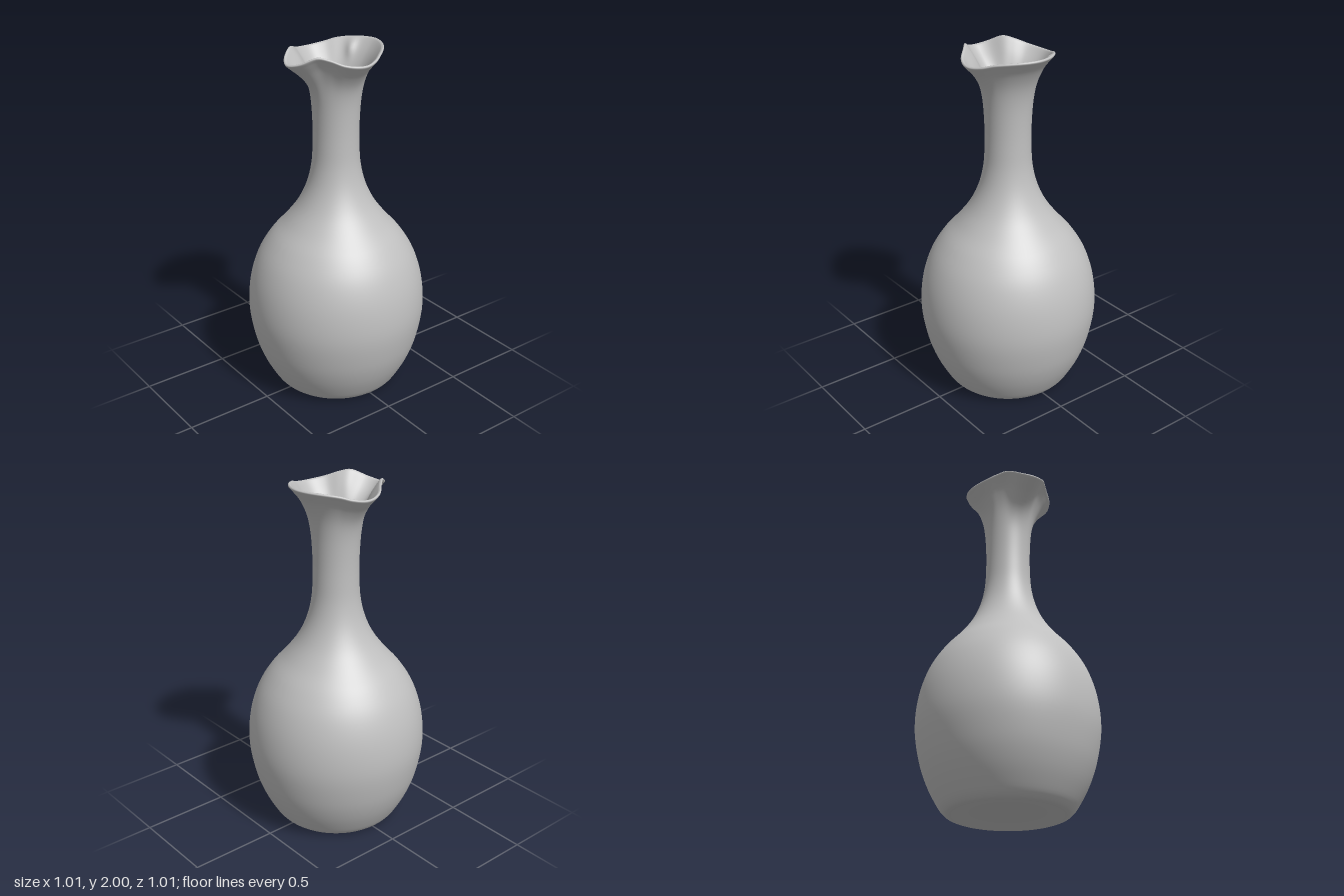
import * as THREE from 'three';
import { mergeVertices } from 'three/addons/utils/BufferGeometryUtils.js';

const spline = (pts, n) => new THREE.SplineCurve(pts.map(([r, y]) => new THREE.Vector2(r, y))).getPoints(n);

// Rim shape by angle in degrees from the spout: [angle, radius, height]
const RIM = [
  [0, 0.314, 1.948], [12, 0.297, 1.96], [30, 0.253, 1.997], [45, 0.24, 1.987], [65, 0.251, 1.96],
  [90, 0.261, 1.948], [110, 0.252, 1.96], [125, 0.247, 1.978], [145, 0.252, 1.99], [180, 0.272, 1.998],
];
const RIM_R = 0.256, RIM_Y = 1.97;

function rimInterpolant() {
  const it = new THREE.CubicInterpolant(RIM.map(p => p[0]), RIM.flatMap(p => [p[1], p[2]]), 2);
  it.settings = { endingStart: THREE.ZeroSlopeEnding, endingEnd: THREE.ZeroSlopeEnding };
  return it;
}

function carafeGeometry() {
  // Outer wall: recessed base, round belly, slim neck, flared lip
  const outer = spline([
    [0, 0.025], [0.12, 0.023], [0.22, 0.016], [0.28, 0.004], [0.315, 0.001], [0.345, 0.015], [0.38, 0.06],
    [0.437, 0.17], [0.48, 0.3], [0.506, 0.47], [0.493, 0.64], [0.447, 0.79], [0.375, 0.91], [0.288, 1.01],
    [0.215, 1.11], [0.164, 1.22], [0.136, 1.34], [0.128, 1.47], [0.129, 1.6], [0.138, 1.72], [0.158, 1.81],
    [0.195, 1.885], [0.235, 1.935], [0.254, 1.956], [RIM_R, 1.965], [0.25, RIM_Y],
  ], 110);
  // Inner wall from the lip down to the floor
  const inner = spline([
    [0.242, 1.966], [0.225, 1.945], [0.182, 1.885], [0.142, 1.81], [0.116, 1.72], [0.105, 1.6], [0.103, 1.47],
    [0.112, 1.34], [0.14, 1.22], [0.19, 1.11], [0.263, 1.01], [0.35, 0.91], [0.422, 0.79], [0.468, 0.64],
    [0.48, 0.47], [0.455, 0.3], [0.41, 0.17], [0.35, 0.08], [0.28, 0.05], [0.14, 0.05], [0, 0.05],
  ], 80);
  const profile = [...outer, ...inner].map(p => p.set(Math.max(p.x, 0), Math.max(p.y, 0)));
  const lathe = new THREE.LatheGeometry(profile, 120);

  // Pull the flared mouth into a wavy rim with a pouring spout
  const rim = rimInterpolant();
  const pos = lathe.attributes.position;
  for (let i = 0; i < pos.count; i++) {
    const x = pos.getX(i), y = pos.getY(i), z = pos.getZ(i);
    const t = THREE.MathUtils.smoothstep(y, 1.6, 1.96) ** 2;
    if (t === 0) continue;
    const angle = THREE.MathUtils.radToDeg(Math.atan2(x, z));
    const [r, h] = rim.evaluate(Math.min(Math.abs(angle), 179.999));
    let scale = 1 + t * (r / RIM_R - 1);
    // Small fold on the inside of the back rim
    if (i % profile.length >= outer.length) {
      const fold = Math.exp(-(((angle + 151) / 8) ** 2)) * Math.exp(-(((y - 1.92) / 0.045) ** 2));
      scale *= 1 - 0.1 * fold;
    }
    pos.setXYZ(i, x * scale, y + t * (h - RIM_Y), z * scale);
  }

  // Weld the seam for continuous smooth normals
  lathe.deleteAttribute('normal');
  lathe.deleteAttribute('uv');
  const geometry = mergeVertices(lathe, 1e-5);
  geometry.computeVertexNormals();
  return geometry;
}

export function createModel() {
  const group = new THREE.Group();
  group.name = 'carafe';
  const ceramic = new THREE.MeshStandardMaterial({ color: 0xc0c0c0 });
  ceramic.name = 'greyCeramic';
  const vessel = new THREE.Mesh(carafeGeometry(), ceramic);
  vessel.name = 'vessel';
  group.add(vessel);
  return group;
}
